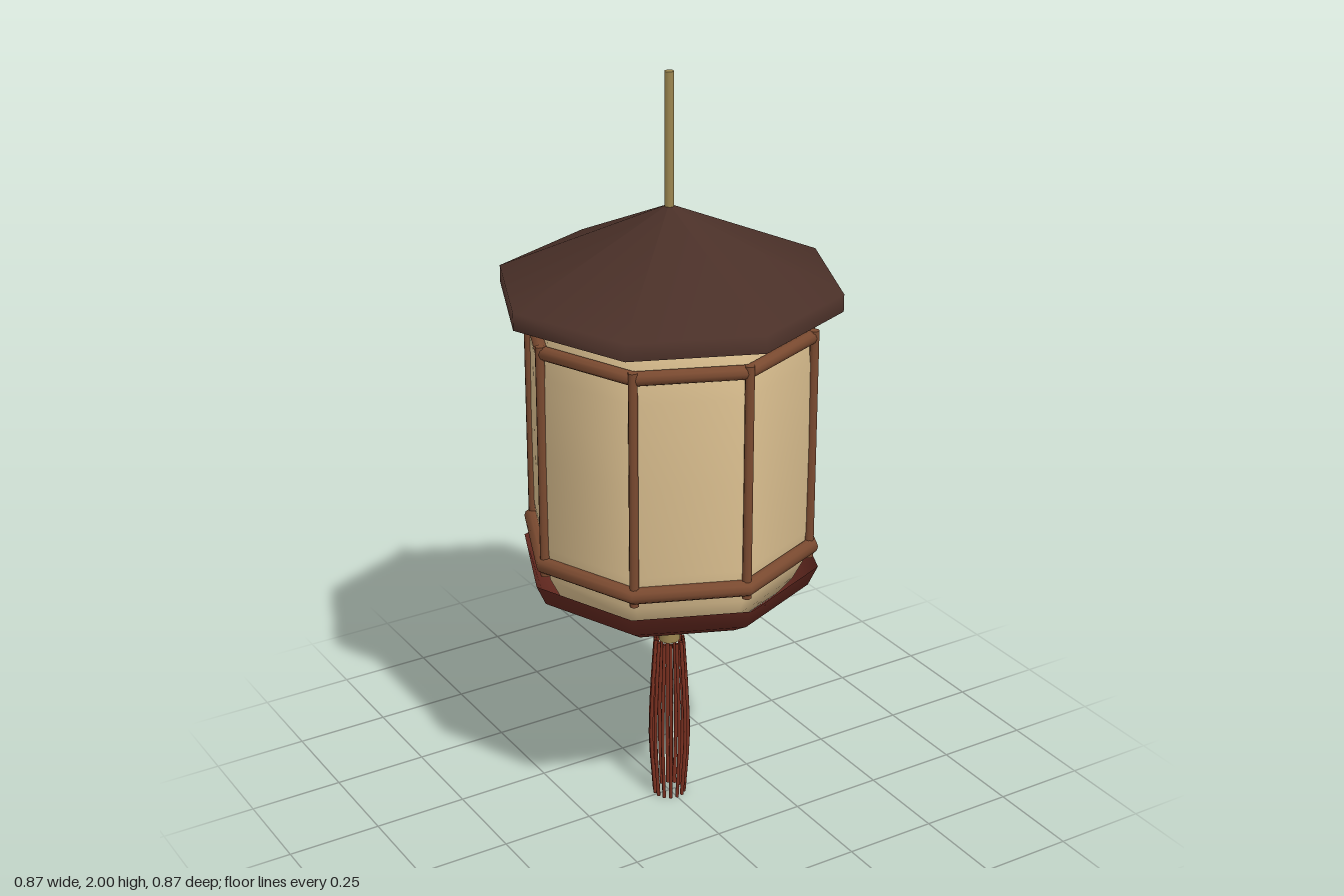
import * as THREE from 'three';

const SIDES = 8;
const material = (color) => new THREE.MeshStandardMaterial({ color, side: THREE.DoubleSide });

export function createModel() {
  const group = new THREE.Group();
  const roofMat = material(0x4a3028);
  const woodMat = material(0x7a4a30);
  const paperMat = material(0xdcc090);
  const baseMat = material(0x62281f);
  const cordMat = material(0x9c8650);
  const tasselMat = material(0x7a3020);

  const add = (name, geometry, mat, x = 0, y = 0, z = 0) => {
    const mesh = new THREE.Mesh(geometry, mat);
    mesh.name = name;
    mesh.position.set(x, y, z);
    group.add(mesh);
    return mesh;
  };
  // Eight-sided shell from [radius, height] points, corners on the axes
  const shell = (points) =>
    new THREE.LatheGeometry(points.map(([r, y]) => new THREE.Vector2(r, y)), SIDES);
  // Upright cylinder between two heights
  const rod = (radius, y0, y1, segments = 10) =>
    new THREE.CylinderGeometry(radius, radius, y1 - y0, segments).translate(0, (y0 + y1) / 2, 0);

  // Open pyramid roof with a short vertical rim
  add('roof', shell([[0.435, 1.43], [0.435, 1.475], [0.001, 1.67]]), roofMat);

  // Paper shade, rounded in at both ends and open in the middle
  add('paperShade', shell([
    [0.15, 0.645], [0.29, 0.645], [0.325, 0.69], [0.35, 0.74], [0.362, 0.83],
    [0.364, 1.07],
    [0.362, 1.29], [0.344, 1.38], [0.332, 1.44], [0.28, 1.5], [0.15, 1.5],
  ]), paperMat);

  // Flared base tray
  add('baseTray', shell([[0.285, 0.64], [0.31, 0.64], [0.365, 0.675], [0.39, 0.73]]), baseMat);

  // Wooden frame: two octagonal rails and eight posts
  const rail = (name, radius, tube, y) => {
    add(name, new THREE.TorusGeometry(radius, tube, 10, SIDES), woodMat, 0, y, 0).rotation.x = Math.PI / 2;
  };
  rail('topRail', 0.359, 0.018, 1.357);
  rail('bottomRail', 0.368, 0.021, 0.786);
  const postGeometry = rod(0.012, 0.757, 1.375, 8);
  for (let i = 0; i < SIDES; i++) {
    const a = (i / SIDES) * Math.PI * 2;
    add('post', postGeometry, woodMat, Math.sin(a) * 0.365, 0, Math.cos(a) * 0.365);
  }

  // Hanging cord and tassel knot
  add('hangingCord', rod(0.012, 1.5, 2), cordMat);
  add('tasselKnot', rod(0.028, 0.47, 0.62, 14), cordMat);

  // Bulging tassel strands
  const strandCurve = new THREE.CatmullRomCurve3(
    [[0.037, 0.472], [0.046, 0.33], [0.051, 0.18], [0.04, 0.002]].map(([r, y]) => new THREE.Vector3(0, y, r)));
  const strandGeometry = new THREE.TubeGeometry(strandCurve, 8, 0.005, 6);
  const STRANDS = 14;
  for (let i = 0; i < STRANDS; i++) {
    add('tasselStrand', strandGeometry, tasselMat).rotation.y = (i / STRANDS) * Math.PI * 2;
  }

  return group;
}
